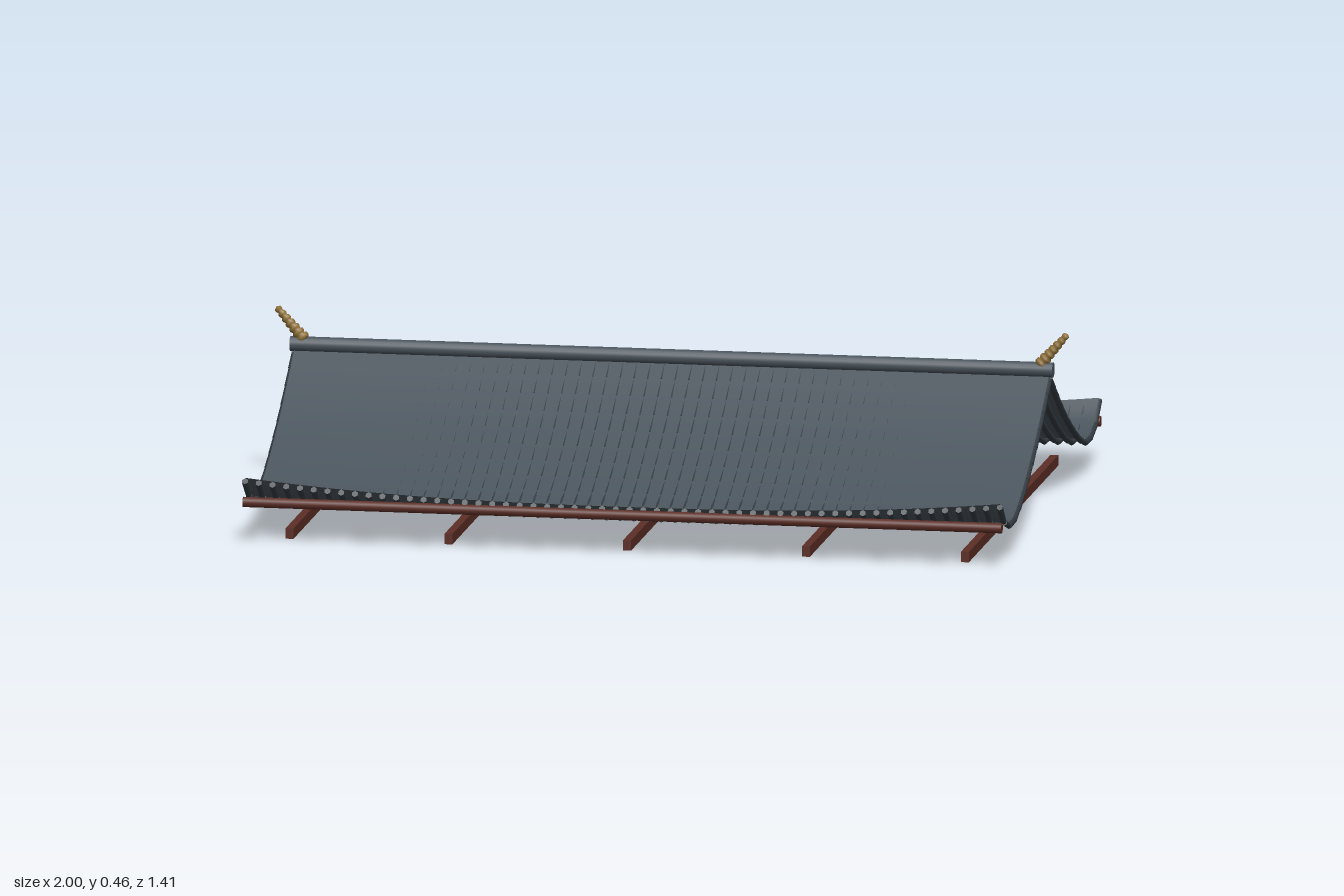
import * as THREE from 'three';
import { mergeGeometries } from 'three/addons/utils/BufferGeometryUtils.js';

const slate = new THREE.MeshStandardMaterial({ color: 0x4a545c, side: THREE.DoubleSide });
slate.name = 'slate';
const darkTile = new THREE.MeshStandardMaterial({ color: 0x343c42 });
darkTile.name = 'darkTile';
const wood = new THREE.MeshStandardMaterial({ color: 0x5c2e26 });
wood.name = 'redWood';
const gold = new THREE.MeshStandardMaterial({ color: 0x8f7038 });
gold.name = 'agedGold';

const HALF = 0.95, DEPTH = 0.69;

// Sagging slope from ridge to upturned eave, as (z, y)
const profile = new THREE.SplineCurve([
  [0, 0.357], [0.1, 0.289], [0.2, 0.227], [0.3, 0.174], [0.4, 0.127],
  [0.5, 0.09], [0.57, 0.081], [0.64, 0.092], [DEPTH, 0.122],
].map(([z, y]) => new THREE.Vector2(z, y)));

// Point on the roof; the eave corners sweep up
function roofPoint(x, t) {
  const p = profile.getPointAt(t);
  const lift = 0.04 * Math.abs(x / HALF) ** 2.5 * (p.x / DEPTH) ** 6;
  return new THREE.Vector3(x, p.y + lift, p.x);
}

function add(parent, name, geometry, material) {
  const m = new THREE.Mesh(geometry, material);
  m.name = name;
  parent.add(m);
  return m;
}

function slopeGeometry() {
  const g = new THREE.PlaneGeometry(2 * HALF, 1, 48, 40);
  const pos = g.attributes.position;
  for (let i = 0; i < pos.count; i++) {
    const p = roofPoint(pos.getX(i), THREE.MathUtils.clamp(0.5 - pos.getY(i), 0, 1));
    pos.setXYZ(i, p.x, p.y, p.z);
  }
  g.computeVertexNormals();
  return g;
}

// Rows of short round tiles set just under the slope, cresting in the middle
function tileGeometry() {
  const parts = [], rows = 12, columns = 56, r = 0.008;
  const up = new THREE.Vector3(0, 1, 0);
  for (let c = 0; c < columns; c++) {
    const x = -HALF + (2 * HALF * c) / (columns - 1);
    for (let i = 0; i < rows; i++) {
      const a = roofPoint(x, i / rows), b = roofPoint(x, (i + 1) / rows);
      const dir = b.clone().sub(a);
      const length = dir.length();
      dir.normalize();
      const normal = new THREE.Vector3(0, dir.z, -dir.y);
      const sink = 0.0072 + 0.0025 * (x / HALF) ** 2;
      const g = new THREE.CylinderGeometry(r * 1.05, r * 0.9, length, 6);
      g.applyQuaternion(new THREE.Quaternion().setFromUnitVectors(up, dir));
      const mid = a.add(b).multiplyScalar(0.5).addScaledVector(normal, -sink);
      parts.push(g.translate(mid.x, mid.y, mid.z));
    }
  }
  return mergeGeometries(parts);
}

export function createModel() {
  const roof = new THREE.Group();
  roof.name = 'curvedRoof';

  // Two mirrored slopes with tiles and a round eave beam
  const sheet = slopeGeometry(), tiles = tileGeometry();
  const beam = new THREE.CylinderGeometry(0.013, 0.013, 1.91, 12).rotateZ(Math.PI / 2);
  for (const side of ['front', 'back']) {
    const half = new THREE.Group();
    half.name = side + 'Slope';
    if (side === 'back') half.rotation.y = Math.PI;
    add(half, 'roofSheet', sheet, slate);
    add(half, 'roofTiles', tiles, darkTile);
    add(half, 'eaveBeam', beam, wood).position.set(0, 0.102, 0.694);
    roof.add(half);
  }

  // Ridge pole
  const ridge = new THREE.CylinderGeometry(0.019, 0.019, 1.92, 16).rotateZ(Math.PI / 2);
  add(roof, 'ridgePole', ridge, slate).position.y = 0.367;

  // Ribbed finials leaning outward at both ridge ends
  const outline = [new THREE.Vector2(0, 0)];
  for (let i = 0; i < 7; i++) {
    const r = 0.017 - i * 0.0013, y = i * 0.0153;
    outline.push(new THREE.Vector2(r * 0.75, y), new THREE.Vector2(r, y + 0.005),
      new THREE.Vector2(r, y + 0.011));
  }
  outline.push(new THREE.Vector2(0, 0.108));
  const finial = new THREE.LatheGeometry(outline, 10);
  for (const s of [-1, 1]) {
    const m = add(roof, s > 0 ? 'leftFinial' : 'rightFinial', finial, gold);
    m.position.set(s * 0.925, 0.378, 0);
    m.rotation.z = -s * 0.72;
  }

  // Cross rafters beneath
  const rafter = new THREE.BoxGeometry(0.02, 0.026, 1.26);
  for (const x of [-0.85, -0.45, 0, 0.45, 0.85])
    add(roof, 'rafter', rafter, wood).position.set(x, 0.013, 0);

  return roof;
}
